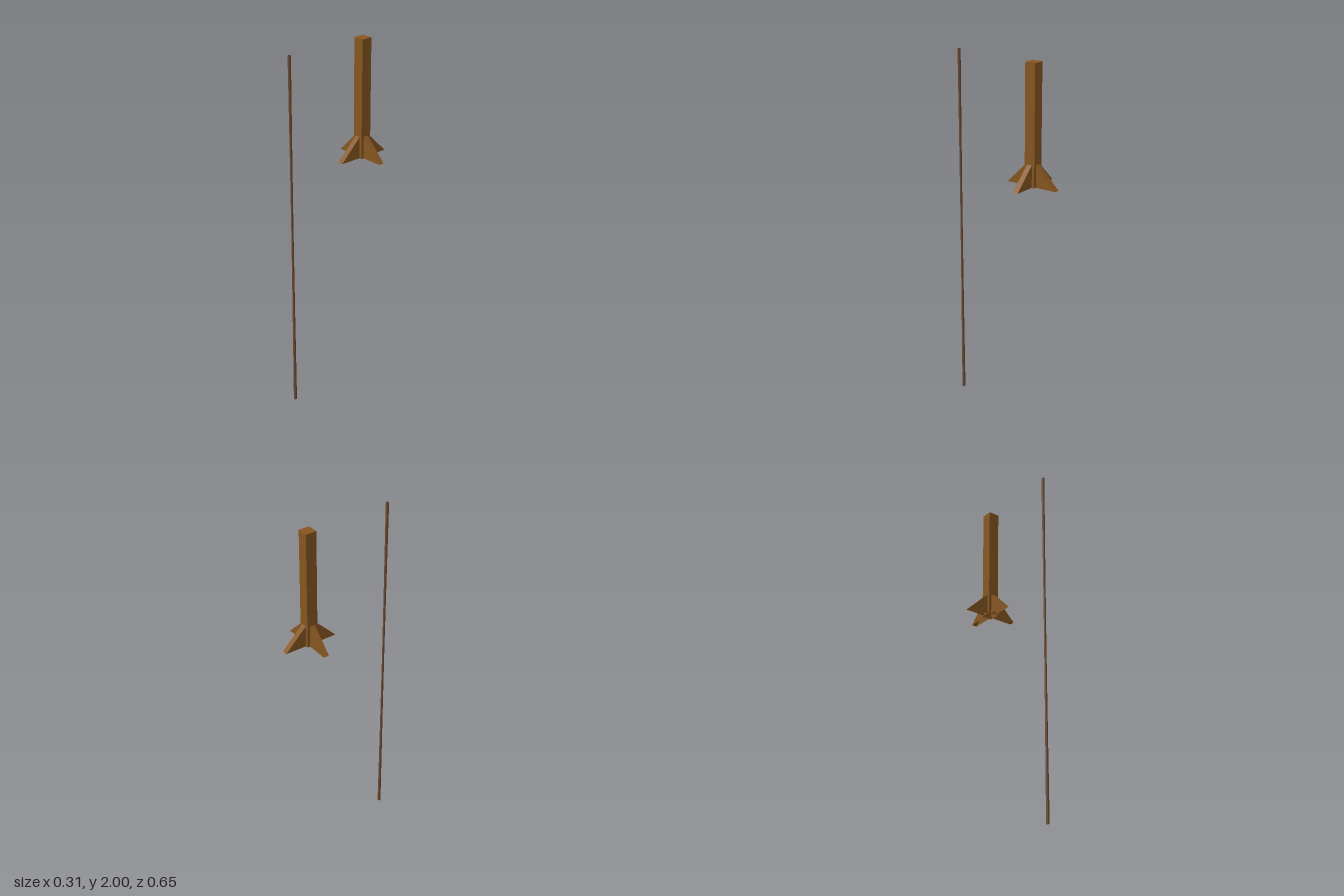
import * as THREE from 'three';

export function createModel() {
  const model = new THREE.Group();
  const makeMaterial = (name, color) => {
    const material = new THREE.MeshStandardMaterial({ color, side: THREE.DoubleSide });
    material.name = name;
    return material;
  };
  const wood = makeMaterial('warm wood', 0x865620);
  const darkWood = makeMaterial('dark wood', 0x6b4a30);

  const add = (parent, name, geometry, material) => {
    const mesh = new THREE.Mesh(geometry, material);
    mesh.name = name;
    parent.add(mesh);
    return mesh;
  };

  // Square post, open underneath, with four sloping braces around its foot
  const half = 0.031, height = 0.66;
  const stand = new THREE.Group();
  stand.name = 'bracedPost';
  stand.position.set(0, 1.337, -0.1725);
  model.add(stand);

  const postGeometry = new THREE.BoxGeometry(half * 2, height, half * 2);
  const faces = Array.from(postGeometry.index.array);
  faces.splice(18, 6); // leave out the bottom face
  postGeometry.setIndex(faces);
  postGeometry.clearGroups();
  add(stand, 'post', postGeometry, wood).position.y = height / 2;

  // Hollow wedge: two triangular cheeks and a sloping face
  const reach = 0.154, rise = 0.122, t = 0.0155;
  const foot = (z) => [half, 0, z];
  const tip = (z) => [reach, 0, z];
  const peak = (z) => [half, rise, z];
  const corners = [
    foot(t), tip(t), peak(t),
    foot(-t), peak(-t), tip(-t),
    tip(t), tip(-t), peak(-t),
    tip(t), peak(-t), peak(t),
  ];
  const braceGeometry = new THREE.BufferGeometry();
  braceGeometry.setAttribute('position', new THREE.Float32BufferAttribute(corners.flat(), 3));
  braceGeometry.computeVertexNormals();
  for (let i = 0; i < 4; i++) {
    add(stand, 'brace', braceGeometry, wood).rotation.y = i * Math.PI / 2;
  }

  // Slender hollow pole, slightly waisted and open at both ends
  const profile = [[0.009, 0], [0.0068, 0.6], [0.006, 1.1], [0.0068, 1.5], [0.0085, 2]]
    .map(([r, y]) => new THREE.Vector2(r, y));
  add(model, 'pole', new THREE.LatheGeometry(profile, 12), darkWood).position.z = 0.318;

  return model;
}
